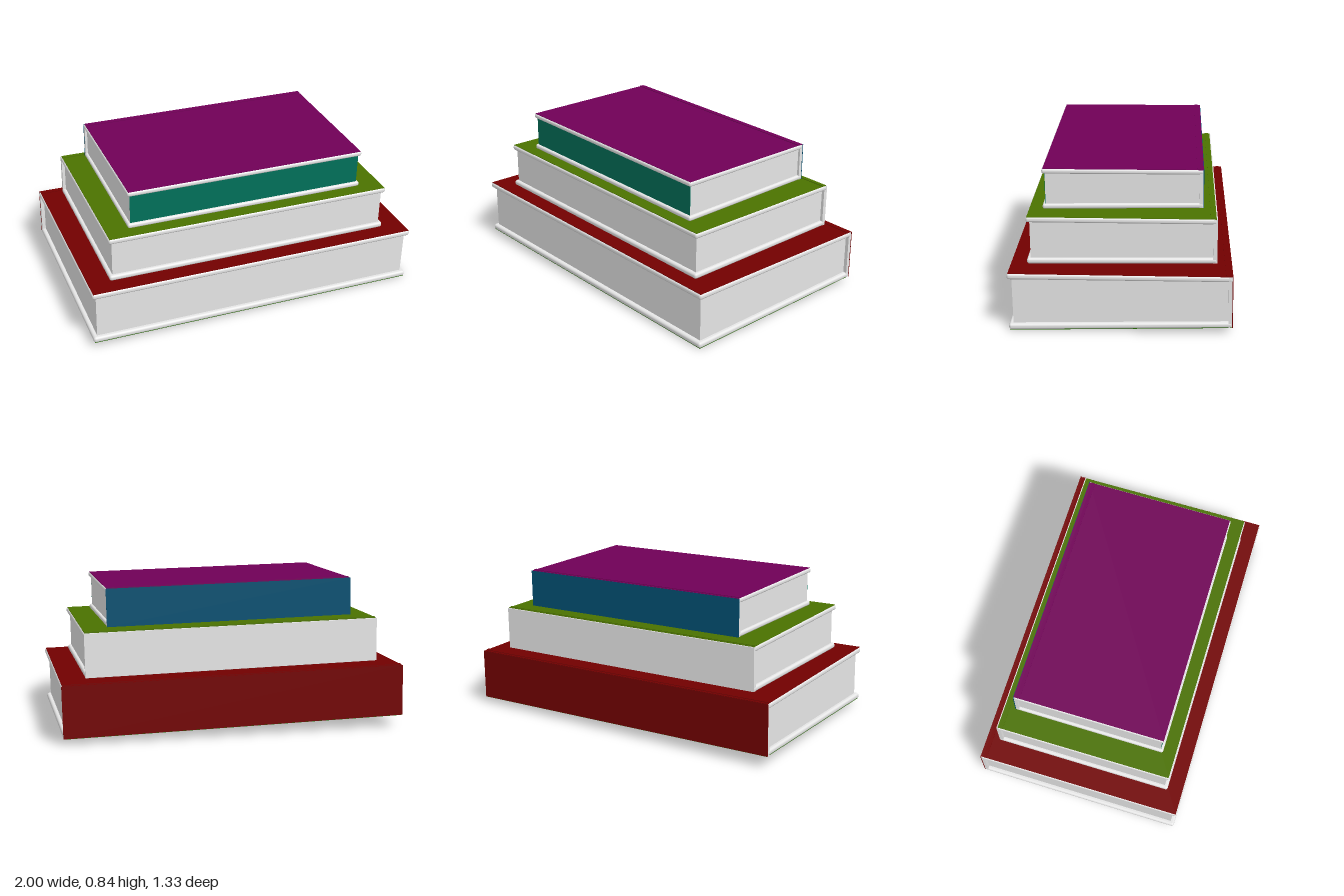
import * as THREE from 'three';
import { RoundedBoxGeometry } from 'three/addons/geometries/RoundedBoxGeometry.js';

function material(name, color) {
  const m = new THREE.MeshStandardMaterial({ color });
  m.name = name;
  return m;
}

export function createModel() {
  const paper = material('pale grey', 0xe6e6e6);
  const red = material('dark red', 0x720000);
  const olive = material('olive', 0x4b7200);
  const purple = material('purple', 0x700057);
  const teal = material('teal', 0x00715a);
  const blue = material('deep blue', 0x005072);
  const green = material('dark green', 0x266e00);

  // w, d: cover size; front, back: height at fore-edge and spine; t: board thickness; inset: page margin
  const books = [
    { name: 'bottomBook', w: 1.906, d: 1.169, front: 0.318, back: 0.286, t: 0.032, inset: 0.023, pos: [0, 0.186, 0], tilt: 0.0145, top: red, spine: red, base: green },
    { name: 'middleBook', w: 1.645, d: 1.0, front: 0.262, back: 0.246, t: 0.03, inset: 0.019, pos: [0, 0.473, -0.003], tilt: 0.009, top: olive },
    { name: 'topBook', w: 1.38, d: 0.853, front: 0.223, back: 0.21, t: 0.027, inset: 0.015, pos: [0.003, 0.714, -0.003], tilt: 0.012, top: purple, spine: blue, foreEdge: teal },
  ];

  function makeBook(b) {
    const book = new THREE.Group();
    book.name = b.name;
    const H = (b.front + b.back) / 2;
    const k = (b.front - b.back) / (H * b.d);
    const skin = 0.004, margin = 0.006, spineT = 0.022;
    // Skins reach the back edge when the spine is coloured too
    const backMargin = b.spine ? 0.001 : margin;

    // Every part is fanned open slightly towards the fore-edge
    function add(name, geometry, mat, x, y, z) {
      geometry.translate(x, y, z);
      const p = geometry.attributes.position;
      for (let i = 0; i < p.count; i++) p.setY(i, p.getY(i) * (1 + k * p.getZ(i)));
      const mesh = new THREE.Mesh(geometry, mat);
      mesh.name = name;
      book.add(mesh);
    }
    const box = (w, h, d) => new THREE.BoxGeometry(w, h, d);

    // Rounded cover boards with coloured outer skins
    for (const s of [1, -1]) {
      const side = s > 0 ? 'top' : 'bottom';
      add(side + 'Cover', new RoundedBoxGeometry(b.w, b.t, b.d, 3, b.t * 0.42), paper, 0, s * (H - b.t) / 2, 0);
      const skinMat = s > 0 ? b.top : b.base;
      if (skinMat) {
        add(side + 'CoverSkin', box(b.w - margin * 2, skin, b.d - margin - backMargin), skinMat,
          0, s * (H / 2 - skin * 0.3), (backMargin - margin) / 2);
      }
    }

    // Low hinge ridge along the back of the top cover
    add('hingeRidge', box(b.w - margin * 2, skin, 0.02), b.top, 0, H / 2 + 0.002, -b.d / 2 + 0.026);

    // Page block
    const pageH = H - b.t * 1.5;
    const pageD = b.d - b.inset - spineT / 2;
    add('pages', box(b.w - b.inset * 2, pageH, pageD), paper, 0, 0, b.d / 2 - b.inset - pageD / 2);
    if (b.foreEdge) add('foreEdge', box(b.w - b.inset * 2, pageH, 0.002), b.foreEdge, 0, 0, b.d / 2 - b.inset);

    // Spine
    add('spine', box(b.w - 0.004, H - 0.006, spineT), paper, 0, 0, -b.d / 2 + spineT / 2);
    if (b.spine) add('spineSkin', box(b.w - 0.002, H - 0.002, skin), b.spine, 0, 0, -b.d / 2 + skin * 0.3);

    book.position.set(...b.pos);
    book.rotation.set(b.tilt, -0.083, -0.0185, 'YXZ');
    return book;
  }

  const stack = new THREE.Group();
  stack.name = 'bookStack';
  for (const b of books) stack.add(makeBook(b));
  return stack;
}
